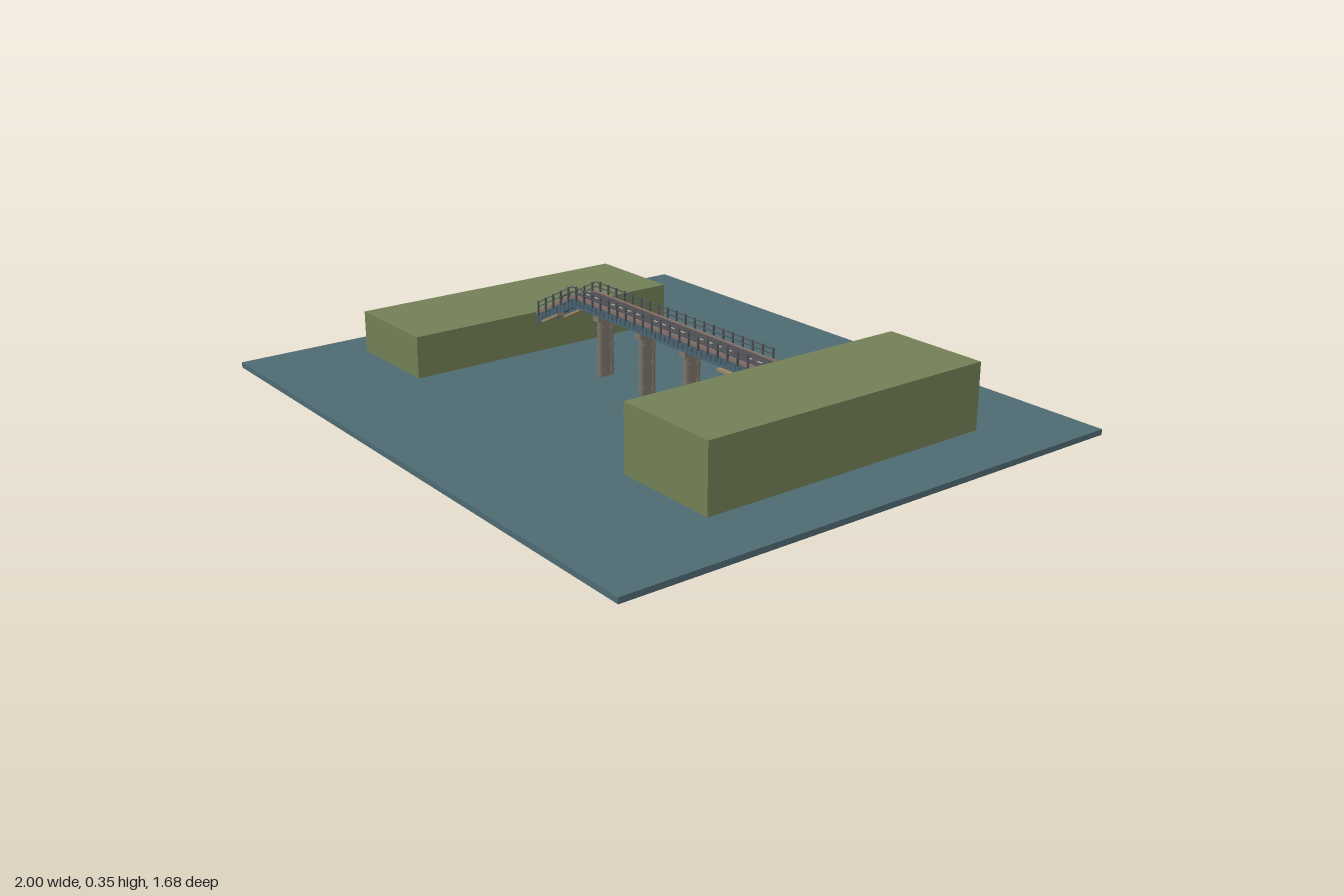
import * as THREE from 'three';

const mat = (name, color) => {
  const m = new THREE.MeshStandardMaterial({ color });
  m.name = name;
  return m;
};

export function createModel() {
  const root = new THREE.Group();
  root.name = 'riverBridge';
  const M = {
    water: mat('water', 0x4e6a72),
    grass: mat('grass', 0x727f55),
    asphalt: mat('asphalt', 0x4e4c50),
    marking: mat('marking', 0xa8a49c),
    curb: mat('curb', 0x86706a),
    steel: mat('steel', 0x49616e),
    rail: mat('rail', 0x50565a),
    stone: mat('stone', 0x7c756a),
    timber: mat('timber', 0x9a8663),
  };

  const add = (parent, name, geo, material, x = 0, y = 0, z = 0) => {
    const mesh = new THREE.Mesh(geo, material);
    mesh.name = name;
    mesh.position.set(x, y, z);
    parent.add(mesh);
    return mesh;
  };
  // Box given by its minimum and maximum on each axis
  const block = (parent, name, material, x0, x1, y0, y1, z0, z1) =>
    add(parent, name, new THREE.BoxGeometry(x1 - x0, y1 - y0, z1 - z0), material,
      (x0 + x1) / 2, (y0 + y1) / 2, (z0 + z1) / 2);
  const group = (name) => {
    const g = new THREE.Group();
    g.name = name;
    root.add(g);
    return g;
  };

  // Road height: a ramp up to the bend, then level
  const START = -0.53, BEND = -0.32, END = 0.525, TOP = 0.315;
  const roadY = (x) => TOP - Math.max(0, BEND - x) * 0.5;

  // Beam that follows the road between two offsets from its surface
  const strip = (parent, name, material, x0, x1, low, high, z0, z1) => {
    const xs = x0 < BEND && x1 > BEND ? [x0, BEND, x1] : [x0, x1];
    const points = [
      ...xs.map((x) => new THREE.Vector2(x, roadY(x) + low)),
      ...xs.slice().reverse().map((x) => new THREE.Vector2(x, roadY(x) + high)),
    ];
    const geo = new THREE.ExtrudeGeometry(new THREE.Shape(points), { depth: z1 - z0, bevelEnabled: false });
    return add(parent, name, geo, material, 0, 0, z0);
  };

  // Water and the two banks
  block(root, 'water', M.water, -1, 1, 0.063, 0.08, -0.84, 0.84);
  block(root, 'lowBank', M.grass, -0.865, -0.53, 0.075, 0.212, -0.473, 0.473);
  block(root, 'highBank', M.grass, 0.525, 0.86, 0.12, 0.318, -0.473, 0.473);

  // Road deck with centre dashes
  const deck = group('deck');
  strip(deck, 'roadway', M.asphalt, START, END, -0.012, 0, -0.036, 0.036);
  for (let i = -1; i < 5; i++) {
    for (const d of [-0.38, -0.34, -0.3, -0.255]) {
      const x = d + i * 0.21;
      if (x < START + 0.01 || x > END - 0.01) continue;
      strip(deck, 'centreDash', M.marking, x - 0.009, x + 0.009, 0, 0.0012, -0.003, 0.003);
    }
  }

  // Curbs and stiffened side girders
  for (const s of [-1, 1]) {
    const side = (name, m, x0, x1, low, high, a, b) =>
      strip(deck, name, m, x0, x1, low, high, Math.min(s * a, s * b), Math.max(s * a, s * b));
    side('curb', M.curb, START, END, -0.007, 0.004, 0.036, 0.042);
    side('girderWeb', M.steel, START, END, -0.034, -0.007, 0.034, 0.038);
    side('upperFlange', M.steel, START, END, -0.012, -0.007, 0.034, 0.042);
    side('lowerFlange', M.steel, START, END, -0.036, -0.031, 0.03, 0.042);
    for (let x = START + 0.01; x < END; x += 0.021) {
      side('stiffener', M.steel, x - 0.0015, x + 0.0015, -0.032, -0.01, 0.037, 0.041);
    }
    // Narrow side platforms beneath the two ends
    side('sidePlatform', M.timber, -0.48, -0.39, -0.044, -0.036, 0.03, 0.055);
    side('sidePlatform', M.timber, 0.385, 0.485, -0.044, -0.036, 0.03, 0.055);
  }
  for (let x = START + 0.02; x < END; x += 0.0525) {
    strip(deck, 'crossBeam', M.steel, x - 0.003, x + 0.003, -0.03, -0.012, -0.034, 0.034);
  }

  // Railings: two rails on evenly spaced posts
  const railings = group('railings');
  for (const s of [-1, 1]) {
    const z = s * 0.045;
    for (const h of [0.015, 0.03]) {
      strip(railings, 'handrail', M.rail, -0.515, 0.508, h - 0.0015, h + 0.0015, z - 0.0015, z + 0.0015);
    }
    for (let i = 0; i <= 24; i++) {
      const x = -0.51 + i * 0.0422;
      block(railings, 'railPost', M.rail, x - 0.002, x + 0.002,
        roadY(x) - 0.012, roadY(x) + 0.034, z - 0.003, z + 0.003);
    }
  }

  // Piers: twin columns, a wall between, bands and a cap
  [-0.21, 0, 0.21].forEach((x) => {
    const pier = group('pier');
    pier.position.x = x;
    block(pier, 'pierWall', M.stone, -0.008, 0.008, 0.002, 0.27, -0.02, 0.02);
    for (const z of [-0.018, 0.018]) {
      add(pier, 'column', new THREE.CylinderGeometry(0.01, 0.01, 0.27, 12), M.stone, 0, 0.135, z);
      for (const y of [0.01, 0.05, 0.1, 0.18, 0.235]) {
        add(pier, 'columnBand', new THREE.CylinderGeometry(0.012, 0.012, 0.008, 12), M.stone, 0, y, z);
      }
    }
    block(pier, 'pierCap', M.stone, -0.014, 0.014, 0.258, 0.279, -0.036, 0.036);
  });

  return root;
}
